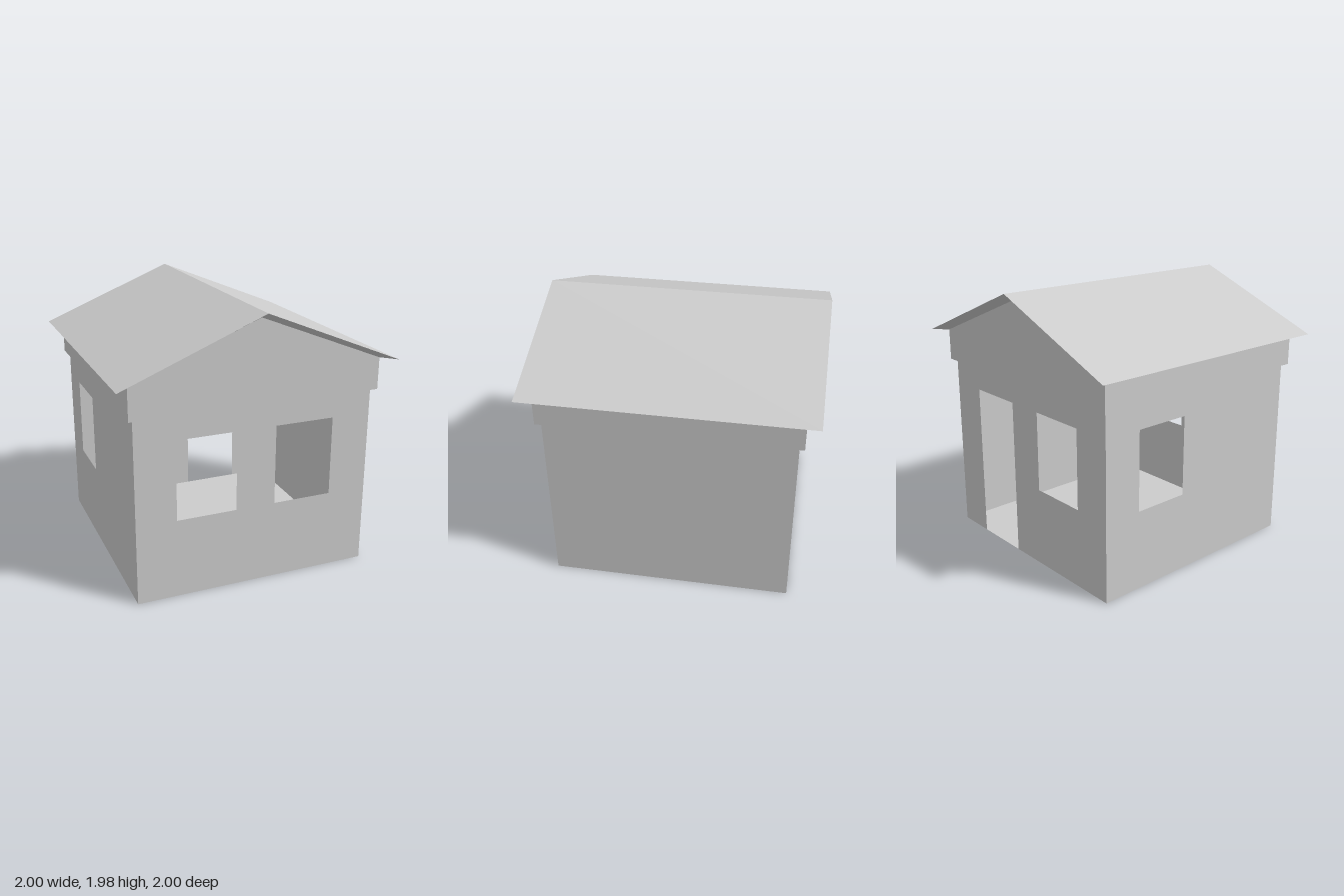
import * as THREE from 'three';

const material = new THREE.MeshStandardMaterial({ color: 0xcccccc, flatShading: true, side: THREE.DoubleSide });

const WALL = 0.87, CEILING = 1.45;             // half width of the room, ceiling height
const GABLE = 0.905, SKIRT = 1.34, EAVE = 1.57; // gable band
const GABLE_TOP = 1.93, ROOF = 1, ROOF_TOP = 1.975;
const SILL = 0.58, HEAD = 1.16;                // window bottom and top

const toShape = (pts) => new THREE.Shape(pts.map(([x, y]) => new THREE.Vector2(x, y)));

function add(parent, name, geometry) {
  const mesh = new THREE.Mesh(geometry, material);
  mesh.name = name;
  parent.add(mesh);
  return mesh;
}

// Flat panel standing at a distance from the centre, turned to face its side
function panel(parent, name, shape, distance, turn) {
  const geometry = new THREE.ShapeGeometry(shape);
  geometry.translate(0, 0, distance).rotateY(turn);
  return add(parent, name, geometry);
}

// Wall outline with an optional doorway notch and window holes, given as [x0, x1]
function wallShape(windows, door) {
  const notch = door ? [[door[0], 0], [door[0], HEAD], [door[1], HEAD], [door[1], 0]] : [];
  const shape = toShape([[-WALL, 0], ...notch, [WALL, 0], [WALL, CEILING], [-WALL, CEILING]]);
  for (const [x0, x1] of windows) {
    shape.holes.push(toShape([[x0, SILL], [x0, HEAD], [x1, HEAD], [x1, SILL]]));
  }
  return shape;
}

function quadsGeometry(quads) {
  const positions = quads.flatMap(([a, b, c, d]) => [a, b, c, a, c, d].flat());
  const geometry = new THREE.BufferGeometry();
  geometry.setAttribute('position', new THREE.Float32BufferAttribute(positions, 3));
  geometry.computeVertexNormals();
  return geometry;
}

// Roof skin: two slopes, bevelled verges running back to the gables, flat soffits
function roofGeometry() {
  const section = (half, top, z) => [[-half, EAVE, z], [0, top, z], [half, EAVE, z]];
  const rings = [
    section(GABLE, GABLE_TOP, GABLE), section(ROOF, ROOF_TOP, ROOF),
    section(ROOF, ROOF_TOP, -ROOF), section(GABLE, GABLE_TOP, -GABLE),
  ];
  const quads = [];
  for (let k = 0; k < 3; k++) {
    for (let i = 0; i < 2; i++) {
      quads.push([rings[k][i], rings[k][i + 1], rings[k + 1][i + 1], rings[k + 1][i]]);
    }
  }
  const soffit = (i) => [rings[1][i], rings[0][i], rings[3][i], rings[2][i]];
  quads.push(soffit(2), soffit(0).reverse());
  return quadsGeometry(quads);
}

export function createModel() {
  const model = new THREE.Group();
  model.name = 'house';

  // Room: thin walls with openings
  const room = new THREE.Group();
  room.name = 'room';
  model.add(room);
  const left = [-0.58, -0.145], right = [0.145, 0.58];
  panel(room, 'frontWall', wallShape([left, right]), WALL, 0);
  panel(room, 'backWall', wallShape([right], left), WALL, Math.PI);
  panel(room, 'plainSideWall', wallShape([]), WALL, Math.PI / 2);
  panel(room, 'windowSideWall', wallShape([[-0.58, -0.165]]), WALL, -Math.PI / 2);
  const slab = () => new THREE.PlaneGeometry(2 * WALL, 2 * WALL);
  add(room, 'floor', slab().rotateX(Math.PI / 2));
  add(room, 'ceiling', slab().rotateX(-Math.PI / 2).translate(0, CEILING, 0));

  // Gable band overlapping the wall tops, open underneath
  const gables = new THREE.Group();
  gables.name = 'gableBand';
  model.add(gables);
  const side = [[-GABLE, SKIRT], [GABLE, SKIRT], [GABLE, EAVE]];
  const gable = toShape([...side, [0, GABLE_TOP], [-GABLE, EAVE]]);
  const band = toShape([...side, [-GABLE, EAVE]]);
  for (const [i, name] of ['frontGable', 'sideBand', 'backGable', 'sideBand'].entries()) {
    panel(gables, name, i % 2 ? band : gable, GABLE, i * Math.PI / 2);
  }

  add(model, 'roof', roofGeometry());
  return model;
}
